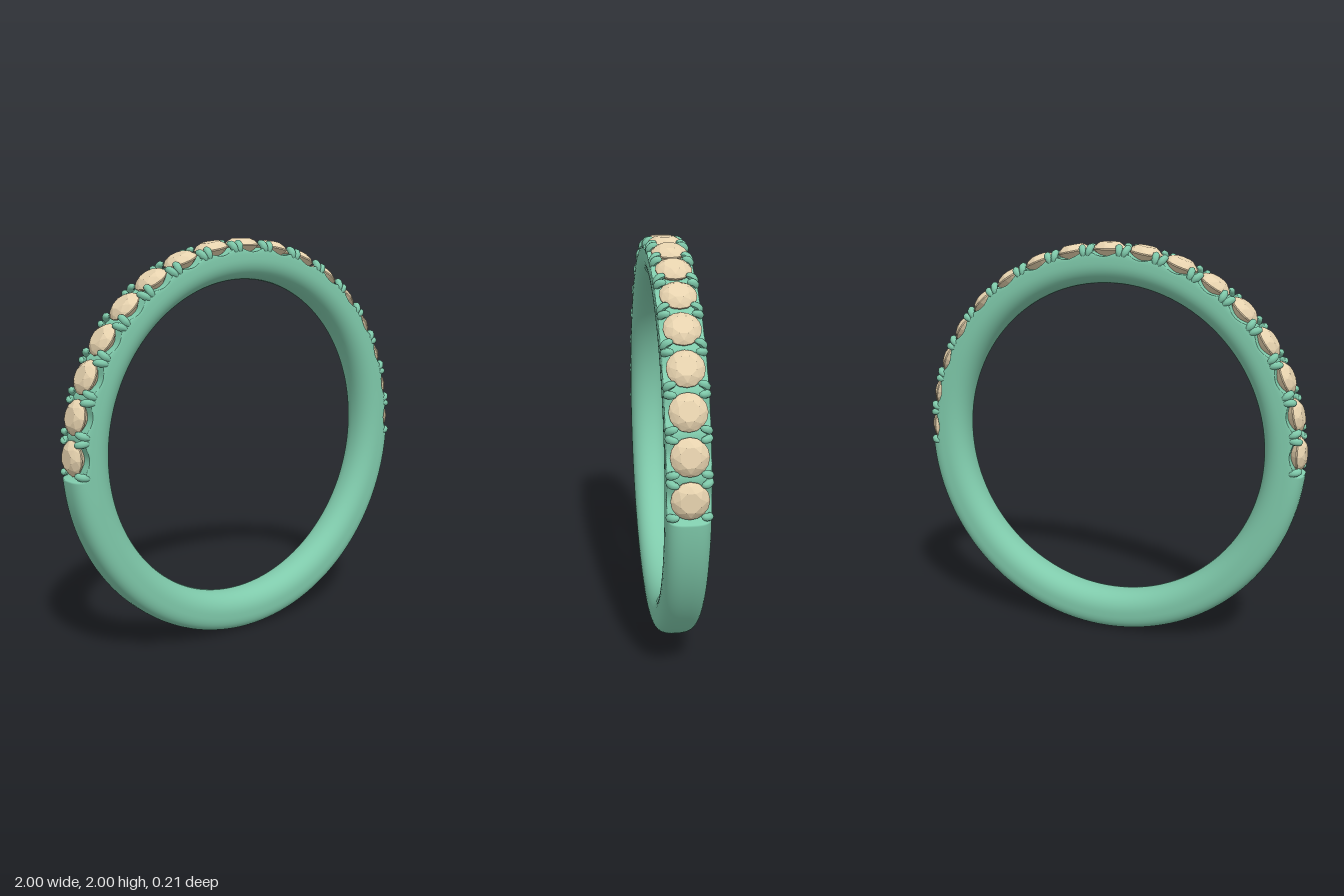
import * as THREE from 'three';
import { ConvexGeometry } from 'three/addons/geometries/ConvexGeometry.js';

const GEMS = 17;
const STEP = THREE.MathUtils.degToRad(11.1);
const HALF = (GEMS * STEP) / 2; // half the angle covered by the stones

// Outer radius allowed at an angle: full on the plain shank, cut away under the stones
function cutRadius(theta) {
  let d = theta - Math.PI / 2;
  if (d > Math.PI) d -= 2 * Math.PI;
  if (Math.abs(d) > HALF) return 1;
  return 0.946 - 0.012 * Math.cos((2 * Math.PI * d) / STEP);
}

// Band: rounded cross-section swept round the finger, clipped by cutRadius
function bandGeometry(rings = 720, sides = 48) {
  const positions = [], index = [];
  for (let i = 0; i < rings; i++) {
    const theta = (i / rings) * Math.PI * 2, limit = cutRadius(theta);
    for (let j = 0; j < sides; j++) {
      const phi = (j / sides) * Math.PI * 2, c = Math.cos(phi), s = Math.sin(phi);
      const p = s > 0 ? 2 / 2.9 : 2 / 2.2; // squarer outside, rounder inside
      const z = 0.1 * Math.sign(c) * Math.abs(c) ** p;
      const r = Math.min(0.9 + 0.1 * Math.sign(s) * Math.abs(s) ** p, limit);
      positions.push(r * Math.cos(theta), 1 + r * Math.sin(theta), z);
      const i2 = (i + 1) % rings, j2 = (j + 1) % sides;
      const a = i * sides + j, b = i * sides + j2, e = i2 * sides + j, f = i2 * sides + j2;
      index.push(a, b, e, b, f, e);
    }
  }
  const g = new THREE.BufferGeometry();
  g.setAttribute('position', new THREE.Float32BufferAttribute(positions, 3));
  g.setIndex(index);
  g.computeVertexNormals();
  return g;
}

// Brilliant-cut stone: table, crown, girdle and point, as a faceted hull
function gemGeometry() {
  const points = [new THREE.Vector3(0, 0.89, 0)];
  const ring = (n, r, y, turn) => {
    for (let i = 0; i < n; i++) {
      const a = ((i + turn) / n) * Math.PI * 2;
      points.push(new THREE.Vector3(r * Math.cos(a), y, r * Math.sin(a)));
    }
  };
  ring(8, 0.046, 1.0, 0.5);
  ring(8, 0.069, 0.987, 0);
  ring(16, 0.084, 0.97, 0);
  ring(16, 0.084, 0.964, 0);
  return new ConvexGeometry(points);
}

// Prong: leaf-like claw climbing the side of the band and folding over the stone
function prongGeometry(sx, sz) {
  const curve = new THREE.CatmullRomCurve3([
    [0.082, 0.915, 0.082], [0.078, 0.95, 0.086], [0.073, 0.973, 0.072], [0.069, 0.979, 0.045],
  ].map(([x, y, z]) => new THREE.Vector3(x * sx, y, z * sz)));
  const rows = 14, sides = 8;
  const g = new THREE.TubeGeometry(curve, rows, 1, sides, false);
  const pos = g.attributes.position, v = new THREE.Vector3();
  for (let i = 0; i <= rows; i++) {
    const t = i / rows, centre = curve.getPointAt(t);
    // pointed root, rounded tip
    const radius = 0.0185 * Math.min(1, Math.sqrt(t * 2.2)) * Math.sqrt(Math.max(0, 1 - t ** 6));
    for (let j = 0; j <= sides; j++) {
      const k = i * (sides + 1) + j;
      v.fromBufferAttribute(pos, k).sub(centre).multiplyScalar(radius).add(centre);
      pos.setXYZ(k, v.x, v.y, v.z);
    }
  }
  g.computeVertexNormals();
  return g;
}

export function createModel() {
  const metal = new THREE.MeshStandardMaterial({ color: 0x7fcaab });
  const stone = new THREE.MeshStandardMaterial({ color: 0xe6d2ae, flatShading: true });
  const model = new THREE.Group();
  model.name = 'ring';
  const add = (parent, name, geometry, material) => {
    const mesh = new THREE.Mesh(geometry, material);
    mesh.name = name;
    parent.add(mesh);
  };

  add(model, 'band', bandGeometry(), metal);

  // Stones with four prongs each, fanned over the upper half
  const gem = gemGeometry();
  const prongs = [[1, 1], [1, -1], [-1, 1], [-1, -1]].map(([sx, sz]) => prongGeometry(sx, sz));
  for (let i = 0; i < GEMS; i++) {
    const setting = new THREE.Group();
    setting.name = 'stoneSetting';
    setting.position.y = 1;
    setting.rotation.z = (i - (GEMS - 1) / 2) * STEP;
    add(setting, 'stone', gem, stone);
    prongs.forEach((p) => add(setting, 'prong', p, metal));
    model.add(setting);
  }
  return model;
}
